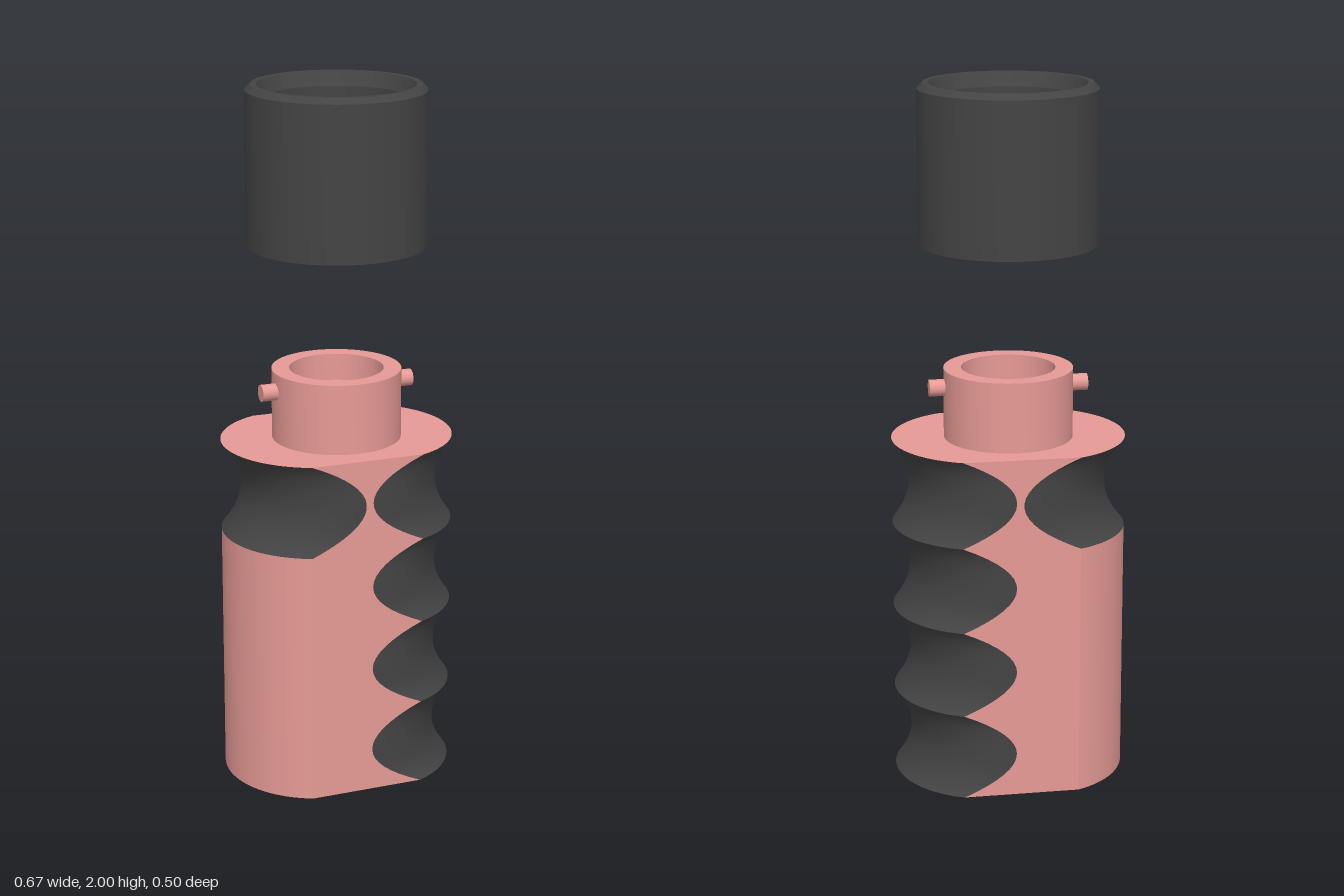
import * as THREE from 'three';
import { toCreasedNormals } from 'three/addons/utils/BufferGeometryUtils.js';

const pink = new THREE.MeshStandardMaterial({ color: 0xe69a95, side: THREE.DoubleSide });
const dark = new THREE.MeshStandardMaterial({ color: 0x444444, side: THREE.DoubleSide });

const HALF = 0.25;        // half depth between the two flats
const ROWS = 64;          // rows over the grip height of 1
const LEDGE = 47 / 64;    // lower edge of the single thumb groove

// Surface from a rule: fn(u, v) -> [x, y, z]; it faces along du x dv
function grid(fn, nu, nv) {
  const pos = [], idx = [];
  for (let j = 0; j <= nv; j++)
    for (let i = 0; i <= nu; i++) pos.push(...fn(i / nu, j / nv));
  for (let j = 0; j < nv; j++)
    for (let i = 0; i < nu; i++) {
      const a = j * (nu + 1) + i, b = a + nu + 1;
      idx.push(a, a + 1, b + 1, a, b + 1, b);
    }
  const g = new THREE.BufferGeometry();
  g.setAttribute('position', new THREE.Float32BufferAttribute(pos, 3));
  g.setIndex(idx);
  g.computeVertexNormals();
  return g;
}

function lathe(points) {
  const g = new THREE.LatheGeometry(points.map(p => new THREE.Vector2(...p)), 96);
  return toCreasedNormals(g, 0.35);
}

// Scallop depth, 0 at both ends and 1 in the middle
const dip = t => 4 * t * (1 - t);
const fingerDip = y => dip(y >= 1 ? 0 : (y * 4) % 1);
const thumbDip = y => (y < LEDGE ? 0 : dip((y - LEDGE) / (1 - LEDGE)));

// Where the rounded side meets the flats, and how far out it bulges
const sides = {
  finger: { sign: 1, dip: fingerDip, edge: y => 0.165 - 0.15 * fingerDip(y), out: y => 0.333 - 0.048 * fingerDip(y) },
  thumb: { sign: -1, dip: thumbDip, edge: y => 0.165 - 0.16 * thumbDip(y), out: y => 0.333 - 0.058 * thumbDip(y) },
};

// Point on the arc through (edge, +-HALF) and (out, 0)
function arcPoint(side, u, y) {
  const b = side.edge(y), s = side.out(y), w = s - b;
  const r = (w * w + HALF * HALF) / (2 * w), c = s - r;
  const a = Math.atan2(HALF, b - c) * (1 - 2 * u) * side.sign;
  return [side.sign * (c + r * Math.cos(a)), y, r * Math.sin(a)];
}

const sideWall = (side, y0, y1) =>
  grid((u, v) => arcPoint(side, u, y0 + (y1 - y0) * v), 40, Math.round((y1 - y0) * ROWS));

export function createModel() {
  const model = new THREE.Group();
  const add = (parent, name, geo, mat) => {
    const m = new THREE.Mesh(geo, mat);
    m.name = name;
    parent.add(m);
    return m;
  };

  // Grip body
  const grip = new THREE.Group();
  grip.name = 'grip';
  model.add(grip);
  for (let k = 0; k < 4; k++)
    add(grip, 'fingerGroove' + (k + 1), sideWall(sides.finger, k / 4, (k + 1) / 4), dark);
  add(grip, 'thumbGroove', sideWall(sides.thumb, LEDGE, 1), dark);
  add(grip, 'palmSide', sideWall(sides.thumb, 0, LEDGE), pink);
  for (const s of [1, -1])
    add(grip, s > 0 ? 'frontFlat' : 'backFlat', grid((u, v) => {
      const l = -sides.thumb.edge(v), r = sides.finger.edge(v);
      const t = s > 0 ? u : 1 - u;
      return [l + (r - l) * t, v, s * HALF];
    }, 1, ROWS), pink);

  // Top and bottom faces of the grip
  const outline = [];
  for (const side of [sides.finger, sides.thumb])
    for (let i = 0; i <= 40; i++) {
      const p = arcPoint(side, i / 40, 0);
      outline.push(new THREE.Vector2(p[0], -p[2]));
    }
  const face = new THREE.ShapeGeometry(new THREE.Shape(outline));
  add(grip, 'gripTop', face, pink).rotation.x = -Math.PI / 2;
  grip.children.at(-1).position.y = 1;
  add(grip, 'gripBottom', face.clone().rotateX(-Math.PI / 2).rotateZ(Math.PI).scale(-1, 1, 1), pink);
  const bottom = grip.children.at(-1).geometry;
  // Mirroring turned the face over, so reverse its corner order
  const order = Array.from(bottom.index.array);
  for (let i = 0; i < order.length; i += 3) [order[i], order[i + 1]] = [order[i + 1], order[i]];
  bottom.setIndex(order);
  bottom.computeVertexNormals();

  // Hollow neck with a small raised seat inside
  add(model, 'neck', lathe([
    [0.183, 1], [0.183, 1.2], [0.133, 1.2], [0.133, 1.1], [0.083, 1.1],
    [0.075, 1.14], [0.055, 1.14], [0.055, 1.12], [0, 1.12],
  ]), pink);

  // Bayonet pins
  for (const s of [1, -1]) {
    const pin = add(model, s > 0 ? 'leftPin' : 'rightPin', new THREE.CylinderGeometry(0.024, 0.024, 0.055, 32), pink);
    pin.rotation.z = Math.PI / 2;
    pin.position.set(s * 0.1985, 1.147, 0);
  }

  // Floating collar
  const collar = new THREE.Group();
  collar.name = 'collar';
  model.add(collar);
  const y0 = 1.555, y1 = 1.96;
  add(collar, 'collarShell', lathe([
    [0.25, y0], [0.25, 1.985], [0.235, 2], [0.218, 2], [0.2, y1],
  ]), dark);

  // Bore with two slanted bayonet slots, open at the bottom
  const bore = (a, y) => {
    const turn = (((2.25 - a) % Math.PI) + Math.PI) % Math.PI;
    const near = t => Math.min(0.03 - Math.abs(y - y0 - 0.085 * t), 0.2 * (1.6 - t), 0.2 * (t + 0.15));
    const d = Math.max(near(turn), near(turn - Math.PI));
    return 0.2 + 0.026 * THREE.MathUtils.clamp(d / 0.006, 0, 1);
  };
  const ring = (a, r, y) => [r * Math.cos(a), y, r * Math.sin(a)];
  add(collar, 'collarBore', toCreasedNormals(grid((u, v) => {
    const a = u * Math.PI * 2, y = y0 + (y1 - y0) * v;
    return ring(a, bore(a, y), y);
  }, 192, 60), 0.6), dark);
  add(collar, 'collarBase', grid((u, v) => {
    const a = u * Math.PI * 2;
    return ring(a, 0.25 + (bore(a, y0) - 0.25) * v, y0);
  }, 192, 1), dark);

  return model;
}
